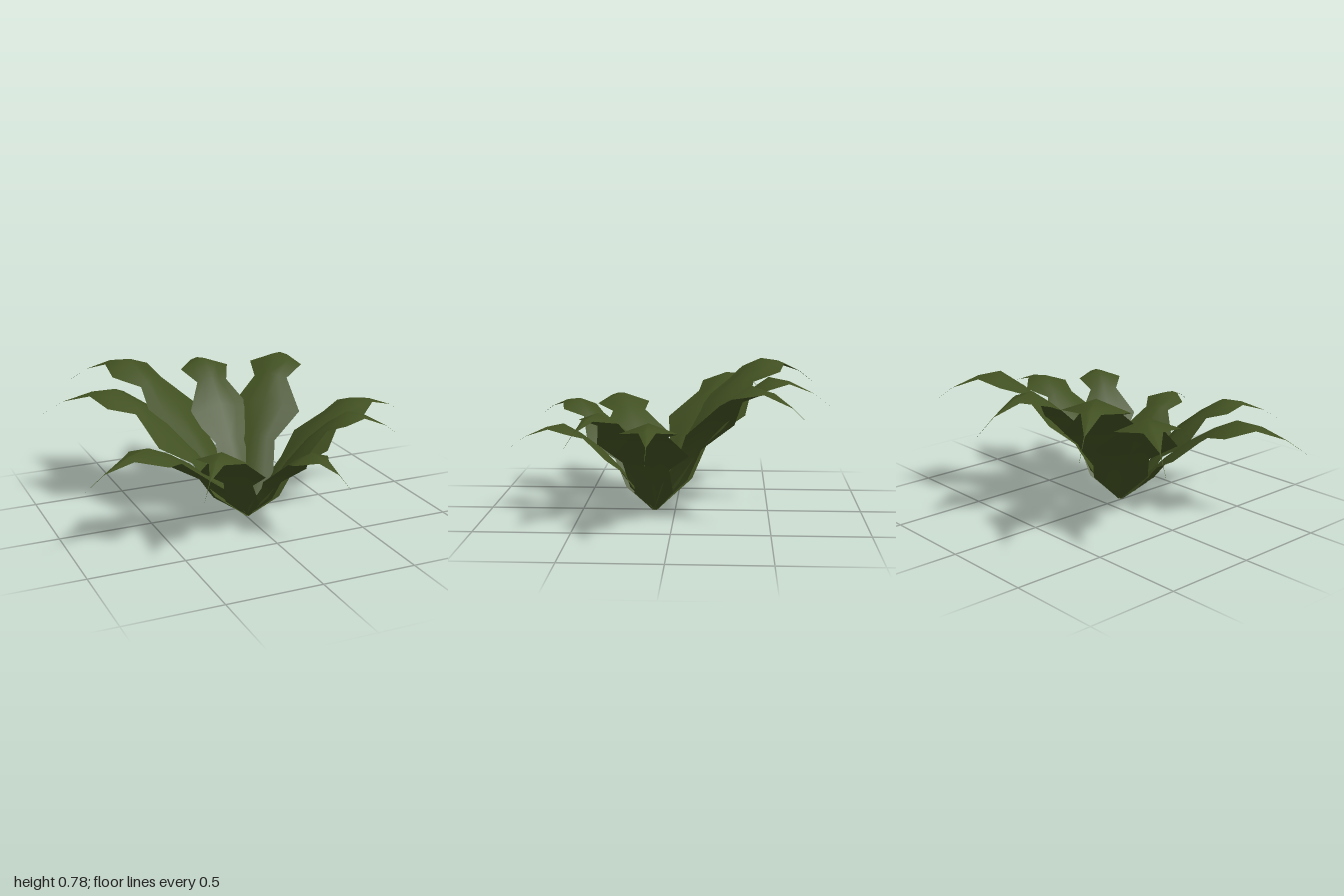
import * as THREE from 'three';

// Leaf stations: reach, height, half width, edge droop.
// Reach, width and droop scale with leaf length; height scales with crest height.
const STATIONS = [
  [0.0, 0.0, 0.012, 0.0],
  [0.14, 0.29, 0.105, 0.045], // lower lobe
  [0.25, 0.51, 0.088, 0.025],
  [0.385, 0.73, 0.193, 0.055], // middle lobe
  [0.515, 0.89, 0.092, 0.025],
  [0.635, 1.0, 0.148, 0.055], // upper lobe
  [0.75, 0.97, 0.042, 0.012],
  [0.89, 0.88, 0.002, 0.0],
  [1.0, 0.77, 0.0003, 0.0], // thread-like tip
];

// Each leaf: tip offset from the root in x and z, crest height
const LEAVES = [
  [0.0, -0.95, 0.73],
  [0.63, -0.79, 0.74],
  [0.98, -0.02, 0.585],
  [0.71, 0.39, 0.605],
  [0.21, 0.74, 0.495],
  [-0.53, 0.70, 0.56],
  [-0.99, 0.355, 0.55],
  [-0.94, -0.60, 0.68],
  [-0.705, -0.905, 0.78],
];

// Points across: edge, half, midrib, half, edge
const ACROSS = [-1, -0.5, 0, 0.5, 1];

function leafGeometry(length, height) {
  const points = [];
  const index = [];
  STATIONS.forEach(([reach, rise, half, droop], i) => {
    for (const a of ACROSS) {
      points.push(
        a * half * length,
        rise * height - droop * length * Math.abs(a),
        reach * length
      );
    }
    if (i === 0) return;
    const n = ACROSS.length;
    for (let j = 0; j < n - 1; j++) {
      const p = (i - 1) * n + j;
      const q = p + n;
      index.push(p, q, p + 1, p + 1, q, q + 1);
    }
  });
  const geometry = new THREE.BufferGeometry();
  geometry.setAttribute('position', new THREE.Float32BufferAttribute(points, 3));
  geometry.setIndex(index);
  geometry.computeVertexNormals();
  return geometry;
}

export function createModel() {
  const plant = new THREE.Group();
  plant.name = 'leafyPlant';
  const green = new THREE.MeshStandardMaterial({ color: 0x415021, side: THREE.DoubleSide });
  green.name = 'leafGreen';

  // Ring of arching lobed leaves from one root
  LEAVES.forEach(([x, z, height], i) => {
    const leaf = new THREE.Mesh(leafGeometry(Math.hypot(x, z), height), green);
    leaf.name = `leaf${i + 1}`;
    leaf.position.set(0.01, 0, 0.11);
    leaf.rotation.y = Math.atan2(x, z);
    plant.add(leaf);
  });
  return plant;
}
